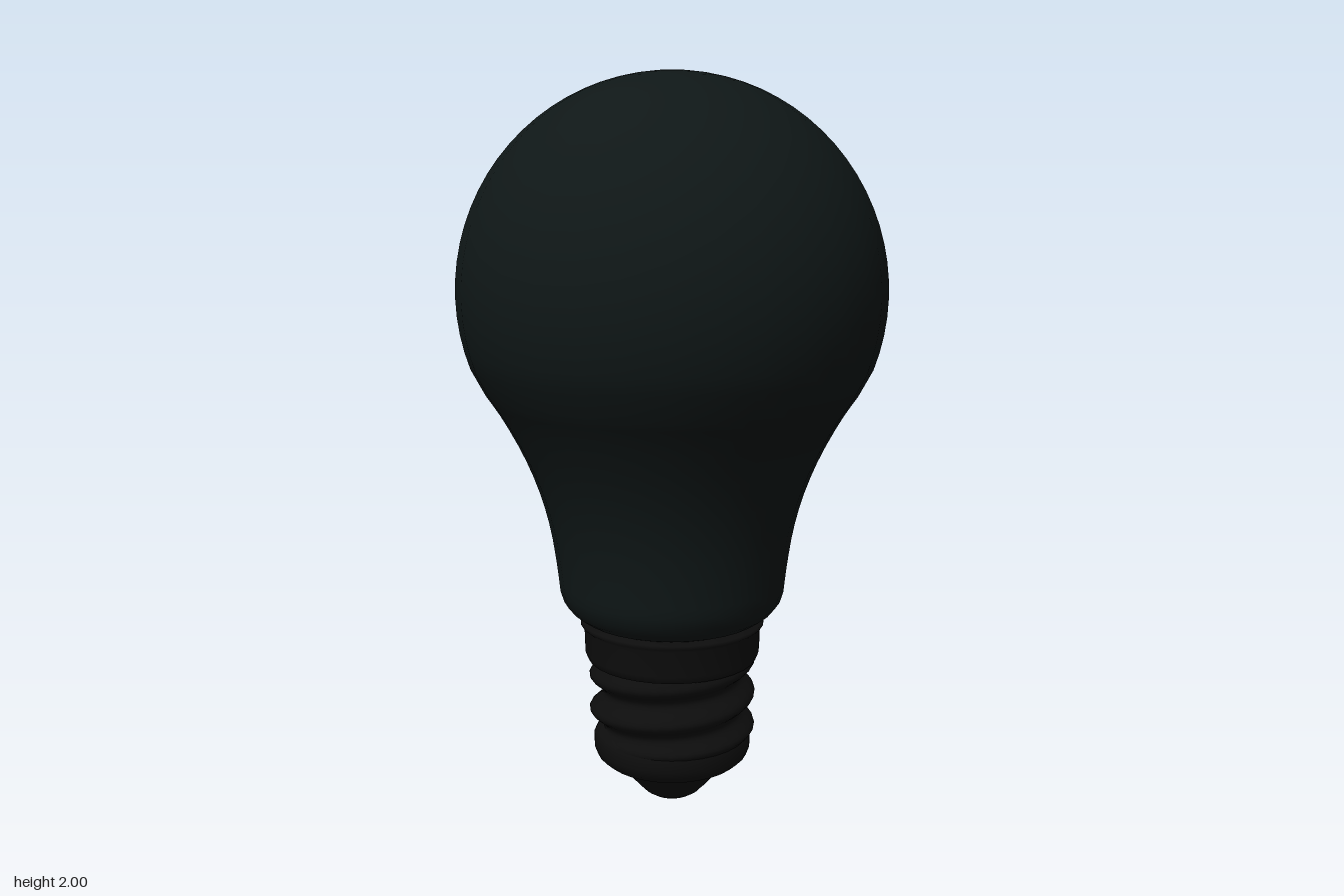
import * as THREE from 'three';
import { mergeVertices } from 'three/addons/utils/BufferGeometryUtils.js';

const SIDES = 32;

// Smooth lathe without a seam; an optional rule reshapes the radius.
function turned(name, points, color, radiusRule) {
  let geo = new THREE.LatheGeometry(points.map(([r, y]) => new THREE.Vector2(r, y)), SIDES);
  if (radiusRule) {
    const p = geo.attributes.position;
    for (let i = 0; i < p.count; i++) {
      const phi = Math.atan2(p.getX(i), p.getZ(i));
      const r = Math.hypot(p.getX(i), p.getZ(i));
      const k = radiusRule(r, p.getY(i), phi) / r;
      p.setX(i, p.getX(i) * k);
      p.setZ(i, p.getZ(i) * k);
    }
  }
  geo.deleteAttribute('uv');
  geo.deleteAttribute('normal');
  geo = mergeVertices(geo, 1e-5);
  geo.computeVertexNormals();
  const mesh = new THREE.Mesh(geo, new THREE.MeshStandardMaterial({ color, side: THREE.DoubleSide }));
  mesh.name = name;
  return mesh;
}

export function createModel() {
  const group = new THREE.Group();
  group.name = 'lightBulb';
  const GLASS = 0x0f1717, METAL = 0x0d0d0d;

  // Glass: flared neck running into a round globe
  const neck = new THREE.SplineCurve([
    [0.31, 0.62], [0.319, 0.7], [0.335, 0.8], [0.362, 0.9],
    [0.402, 1.0], [0.455, 1.1], [0.498, 1.165],
  ].map(([x, y]) => new THREE.Vector2(x, y))).getPoints(14).map(v => [v.x, v.y]);
  const globe = [];
  const start = -0.43;
  for (let i = 1; i <= 24; i++) {
    const a = start + (Math.PI / 2 - start) * i / 24;
    globe.push([i === 24 ? 0 : 0.57 * Math.cos(a), 1.43 + 0.57 * Math.sin(a)]);
  }
  group.add(turned('glassBulb',
    [[0.22, 0.53], [0.25, 0.542], [0.28, 0.563], [0.3, 0.588], ...neck, ...globe], GLASS));

  // Metal collar under the glass
  group.add(turned('collar',
    [[0.2, 0.41], [0.235, 0.42], [0.243, 0.44], [0.245, 0.51], [0.255, 0.52], [0.255, 0.53], [0.22, 0.54]], METAL));

  // Screw thread: a helical ridge, fading out at both ends
  const PITCH = 0.1;
  const rows = [];
  for (let i = 0; i <= 40; i++) rows.push([0.212, 0.18 + 0.26 * i / 40]);
  group.add(turned('screwThread', rows, METAL, (r, y, phi) => {
    const wave = Math.cos(2 * Math.PI * (y - 0.295) / PITCH - phi);
    const fade = THREE.MathUtils.smoothstep(y, 0.18, 0.22);
    return r + 0.02 * wave * fade;
  }));

  // Rounded lower shell of the screw base
  group.add(turned('lowerShell',
    [[0.14, 0.1], [0.165, 0.108], [0.192, 0.12], [0.212, 0.138], [0.22, 0.16], [0.22, 0.19], [0.212, 0.205], [0.19, 0.22]], METAL));

  // Tapered insulator and contact tip
  group.add(turned('insulator', [[0.085, 0.03], [0.1, 0.045], [0.145, 0.098], [0.15, 0.112]], METAL));
  group.add(turned('contactTip',
    [[0, 0], [0.035, 0.003], [0.06, 0.011], [0.08, 0.024], [0.086, 0.032]], METAL));

  return group;
}
